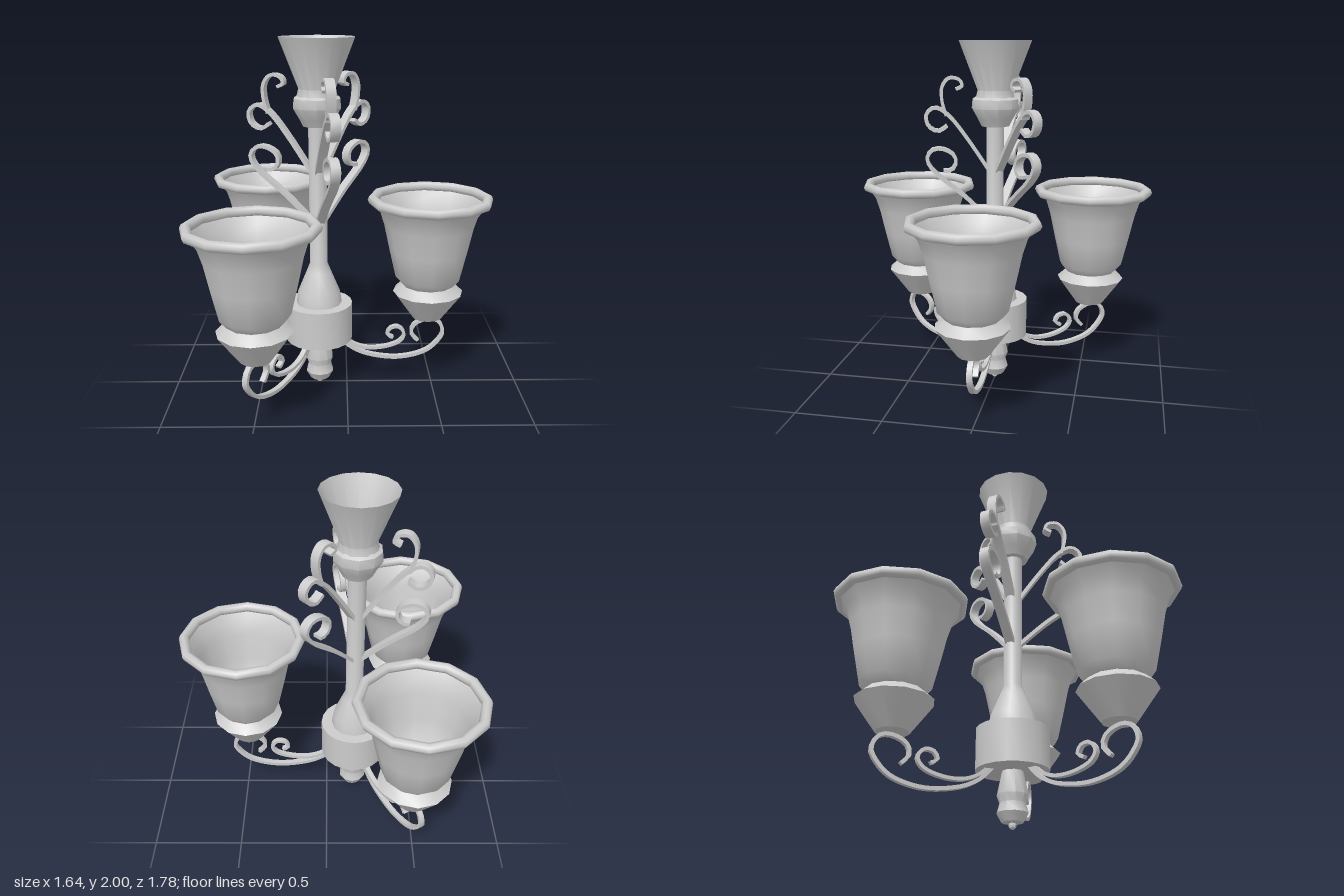
import * as THREE from 'three';
import { toCreasedNormals } from 'three/addons/utils/BufferGeometryUtils.js';

const material = new THREE.MeshStandardMaterial({ color: 0xcccccc, side: THREE.DoubleSide });
const points = (list) => list.map(([x, y]) => new THREE.Vector2(x, y));

function addMesh(parent, name, geometry, crease = 0.7) {
  const mesh = new THREE.Mesh(toCreasedNormals(geometry, crease), material);
  mesh.name = name;
  parent.add(mesh);
  return mesh;
}

// Profile given as [radius, height], from bottom to top
function lathe(parent, name, profile, sides) {
  return addMesh(parent, name, new THREE.LatheGeometry(points(profile), sides));
}

// Flat bar bent along a curve in the XY plane, centred on z = 0
function bar(parent, name, path, thickness, width, samples = 28) {
  const curve = new THREE.SplineCurve(points(path));
  const outer = [], inner = [];
  for (let i = 0; i <= samples; i++) {
    const p = curve.getPointAt(i / samples);
    const t = curve.getTangentAt(i / samples);
    const n = new THREE.Vector2(-t.y, t.x).multiplyScalar(thickness / 2);
    outer.push(p.clone().add(n));
    inner.unshift(p.clone().sub(n));
  }
  const geometry = new THREE.ExtrudeGeometry(new THREE.Shape([...outer, ...inner]), {
    depth: width, bevelEnabled: false,
  });
  geometry.translate(0, 0, -width / 2);
  return addMesh(parent, name, geometry);
}

// Curved arm with its small scroll, socket and glass shade, pointing along +x
function createLampArm() {
  const arm = new THREE.Group();
  arm.name = 'lampArm';
  bar(arm, 'mainArm', [
    [0.11, 0.30], [0.18, 0.23], [0.29, 0.18], [0.46, 0.16], [0.62, 0.20], [0.71, 0.29], [0.715, 0.35],
    [0.68, 0.395], [0.62, 0.40], [0.555, 0.37], [0.535, 0.315], [0.575, 0.265],
  ], 0.02, 0.03, 36);
  bar(arm, 'armScroll', [
    [0.13, 0.30], [0.19, 0.25], [0.27, 0.222], [0.37, 0.225], [0.46, 0.255], [0.495, 0.305],
    [0.465, 0.35], [0.415, 0.345], [0.395, 0.305], [0.43, 0.285],
  ], 0.018, 0.03);

  const lamp = new THREE.Group();
  lamp.name = 'lamp';
  lamp.position.x = 0.625;
  arm.add(lamp);
  lathe(lamp, 'socket', [[0, 0.415], [0.085, 0.415], [0.2, 0.575], [0.15, 0.62], [0, 0.62]], 12);
  lathe(lamp, 'shade', [
    [0, 0.622], [0.15, 0.622], [0.187, 0.665], [0.225, 0.83], [0.255, 0.97], [0.28, 1.05], [0.325, 1.115],
  ], 12);
  const rim = addMesh(lamp, 'shadeRim', new THREE.TorusGeometry(0.322, 0.028, 8, 12).rotateX(Math.PI / 2), 1);
  rim.position.y = 1.117;
  return arm;
}

// Decorative scrolls on the column, pointing along +x
function createColumnScrolls() {
  const scrolls = new THREE.Group();
  scrolls.name = 'columnScrolls';
  bar(scrolls, 'lowerScroll', [
    [0.03, 0.99], [0.18, 1.135], [0.33, 1.26], [0.385, 1.34], [0.36, 1.395], [0.30, 1.405],
    [0.235, 1.37], [0.225, 1.315], [0.255, 1.28], [0.295, 1.28],
  ], 0.02, 0.052);
  bar(scrolls, 'upperScroll', [
    [0.03, 1.27], [0.15, 1.45], [0.25, 1.58], [0.33, 1.635], [0.385, 1.60], [0.375, 1.535],
    [0.32, 1.505], [0.27, 1.535],
  ], 0.02, 0.052);
  bar(scrolls, 'scrollHook', [
    [0.275, 1.59], [0.297, 1.67], [0.297, 1.745], [0.26, 1.795], [0.205, 1.79], [0.185, 1.755], [0.22, 1.735],
  ], 0.018, 0.052);
  return scrolls;
}

export function createModel() {
  const model = new THREE.Group();
  model.name = 'chandelier';
  const body = new THREE.Group();
  body.name = 'body';
  body.position.x = -0.16;
  model.add(body);

  // Bottom finial
  addMesh(body, 'finialTip', new THREE.SphereGeometry(0.02, 8, 6)).position.y = 0.02;
  lathe(body, 'finial', [
    [0, 0.03], [0.055, 0.035], [0.08, 0.08], [0.066, 0.13], [0.08, 0.17], [0.055, 0.29],
  ], 10);

  // Hub and column
  lathe(body, 'hub', [[0, 0.29], [0.19, 0.29], [0.19, 0.51], [0, 0.51]], 20);
  lathe(body, 'column', [
    [0.13, 0.51], [0.12, 0.58], [0.07, 0.70], [0.05, 0.75], [0.05, 1.6], [0, 1.6],
  ], 12);

  // Open flared top
  lathe(body, 'topCollar', [
    [0.04, 1.53], [0.08, 1.53], [0.1, 1.57], [0.135, 1.63], [0.13, 1.68], [0.1, 1.70],
  ], 10);
  lathe(body, 'topCup', [[0.115, 1.67], [0.1, 1.73], [0.204, 2]], 16);

  for (let i = 0; i < 3; i++) {
    const turn = (i * Math.PI * 2) / 3;
    const arm = createLampArm();
    arm.rotation.y = turn;
    const scrolls = createColumnScrolls();
    scrolls.rotation.y = turn + Math.PI / 4;
    body.add(arm, scrolls);
  }
  return model;
}
